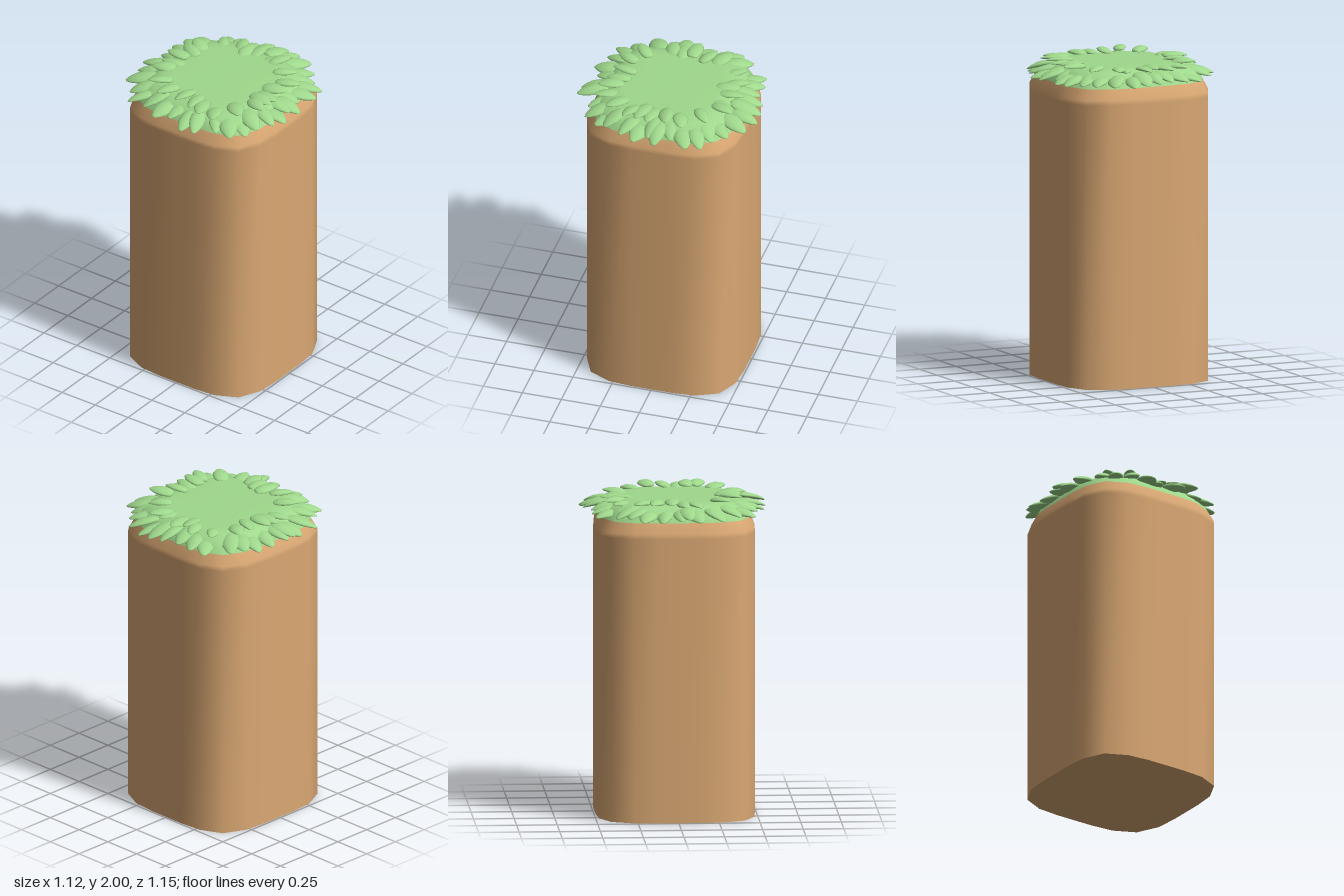
import * as THREE from 'three';
import { mergeVertices } from 'three/addons/utils/BufferGeometryUtils.js';

const SIDES = 24;

// Skin through rounded-square rings, each given as [y, half width]
function loft(rings) {
  const pos = [], idx = [];
  for (const [y, half] of rings) {
    for (let i = 0; i < SIDES; i++) {
      const a = (i / SIDES) * Math.PI * 2;
      const c = Math.cos(a), s = Math.sin(a);
      const r = half / Math.pow(c ** 4 + s ** 4, 0.25);
      pos.push(c * r, y, s * r);
    }
  }
  for (let k = 0; k < rings.length - 1; k++) {
    for (let i = 0; i < SIDES; i++) {
      const j = (i + 1) % SIDES;
      const a = k * SIDES + i, b = k * SIDES + j, c = a + SIDES, d = b + SIDES;
      idx.push(a, c, b, b, c, d);
    }
  }
  const g = new THREE.BufferGeometry();
  g.setAttribute('position', new THREE.Float32BufferAttribute(pos, 3));
  g.setIndex(idx);
  g.computeVertexNormals();
  return g;
}

// Plump pointed leaf of unit length along +z, tip at the origin
function leafGeometry() {
  const profile = [[0, 0], [0.17, 0.06], [0.25, 0.22], [0.28, 0.42], [0.25, 0.64], [0.16, 0.84], [0.07, 0.96], [0, 1]]
    .map(([r, t]) => new THREE.Vector2(r, t));
  let g = new THREE.LatheGeometry(profile, 12);
  g.rotateX(Math.PI / 2);
  g.scale(1, 0.38, 1);
  g.deleteAttribute('uv');
  g.deleteAttribute('normal');
  g = mergeVertices(g, 1e-4);
  const p = g.attributes.position;
  for (let i = 0; i < p.count; i++) {
    // arch along the length and cup the underside
    const t = p.getZ(i), x = p.getX(i);
    p.setY(i, p.getY(i) + 0.25 * t * (1 - t) - 0.5 * x * x);
  }
  g.translate(0, 0, -1);
  g.computeVertexNormals();
  return g;
}

// Leaf tips in plan, as x, z pairs
const OUTER_TIPS = [
  -0.33, -0.5, -0.23, -0.52, -0.12, -0.52, -0.02, -0.565, 0.07, -0.58, 0.16, -0.58, 0.28, -0.54, 0.37, -0.45,
  0.43, -0.37, 0.52, -0.32, 0.54, -0.23, 0.49, -0.12, 0.56, -0.03, 0.52, 0.02, 0.55, 0.11, 0.52, 0.2,
  0.48, 0.31, 0.44, 0.38, 0.38, 0.46, 0.28, 0.47, 0.18, 0.57, 0.08, 0.57, -0.05, 0.51, -0.14, 0.55,
  -0.25, 0.5, -0.38, 0.48, -0.43, 0.39, -0.54, 0.28, -0.55, 0.14, -0.56, 0.07, -0.55, 0.02, -0.54, -0.1,
  -0.54, -0.22, -0.5, -0.3, -0.45, -0.38,
];
const INNER_TIPS = [
  -0.28, -0.39, -0.16, -0.45, -0.07, -0.41, 0, -0.455, 0.14, -0.41, 0.21, -0.43, 0.34, -0.31, 0.46, -0.18,
  0.43, -0.07, 0.44, 0.05, 0.44, 0.12, 0.44, 0.2, 0.36, 0.33, 0.23, 0.44, 0.13, 0.45, 0.04, 0.42,
  -0.07, 0.41, -0.21, 0.41, -0.34, 0.32, -0.44, 0.14, -0.43, 0.05, -0.45, -0.04, -0.41, -0.16, -0.4, -0.26,
];

export function createModel() {
  const model = new THREE.Group();
  model.name = 'leafToppedTrunk';
  const bark = new THREE.MeshStandardMaterial({ color: 0xdaa873 });
  const green = new THREE.MeshStandardMaterial({ color: 0x9fd88c });

  const add = (name, geometry, material, parent = model) => {
    const m = new THREE.Mesh(geometry, material);
    m.name = name;
    parent.add(m);
    return m;
  };

  // Trunk with bevelled shoulder, and its flat base
  add('trunk', loft([[0, 0.49], [1.77, 0.49], [1.8, 0.488], [1.865, 0.457]]), bark);
  add('trunkBase', loft([[0, 0], [0, 0.49]]), bark);

  // Domed green cap, flat in the middle
  add('leafCap', loft([[1.865, 0.457], [1.9, 0.44], [1.93, 0.41], [1.95, 0.37], [1.963, 0.33], [1.967, 0.28], [1.967, 0]]), green);

  // Two rings of leaves
  let seed = 7;
  const jitter = () => {
    seed = (seed * 16807) % 2147483647;
    return (seed / 2147483647) * 2 - 1;
  };
  const leaf = leafGeometry();
  const addRing = (name, tips, length, width, tipY, pitch) => {
    const ring = new THREE.Group();
    ring.name = name;
    for (let i = 0; i < tips.length; i += 2) {
      const [x, z] = [tips[i], tips[i + 1]];
      const m = add('leaf', leaf, green, ring);
      m.rotation.order = 'YXZ';
      m.rotation.set(pitch + jitter() * 0.07, Math.atan2(x, z) + jitter() * 0.08, jitter() * 0.2);
      m.position.set(x, tipY + jitter() * 0.014, z);
      m.scale.set(width * (1 + jitter() * 0.12), length * 0.85, length * (1 + jitter() * 0.06));
    }
    model.add(ring);
  };
  addRing('outerLeaves', OUTER_TIPS, 0.2, 0.19, 1.888, 0.2);
  addRing('innerLeaves', INNER_TIPS, 0.165, 0.165, 1.966, -0.03);

  return model;
}
